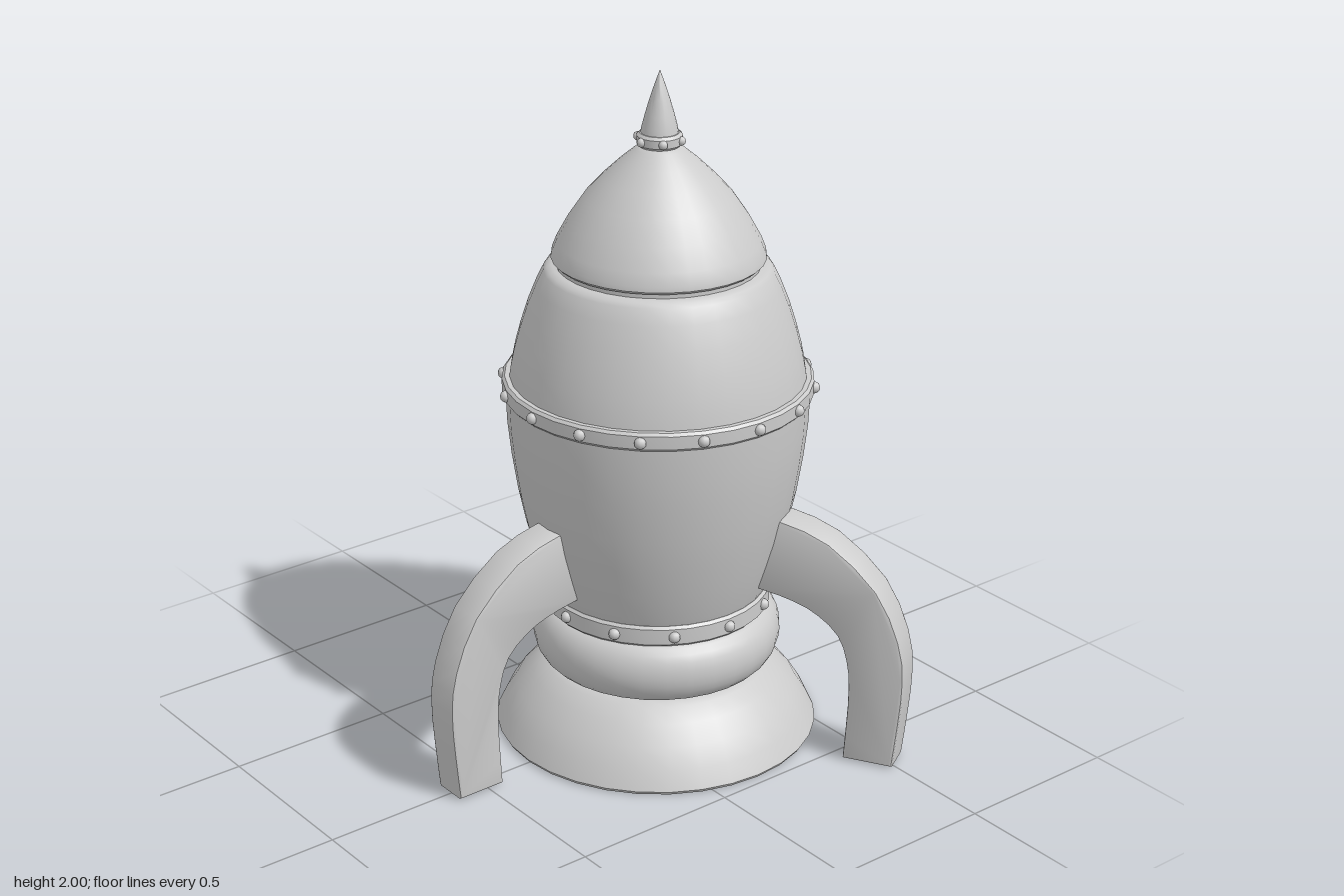
import * as THREE from 'three';
import { toCreasedNormals } from 'three/addons/utils/BufferGeometryUtils.js';

const material = new THREE.MeshStandardMaterial({ color: 0xcccccc });

function addMesh(parent, name, geometry) {
  const mesh = new THREE.Mesh(geometry, material);
  mesh.name = name;
  parent.add(mesh);
  return mesh;
}

// Turned part from [radius, height] points, listed bottom to top
function turned(parent, name, profile, segments = 32) {
  const points = profile.map(([r, y]) => new THREE.Vector2(r, y));
  addMesh(parent, name, toCreasedNormals(new THREE.LatheGeometry(points, segments), 0.6));
}

// Flat band with softened rims and a ring of rivets
function rivetedBand(parent, name, radius, y0, y1, count, rivetRadius) {
  const band = new THREE.Group();
  band.name = name;
  parent.add(band);
  const c = 0.008;
  turned(band, name + 'Ring', [
    [0, y0], [radius - c, y0], [radius, y0 + c], [radius, y1 - c], [radius - c, y1], [0, y1],
  ]);
  const rivet = new THREE.SphereGeometry(rivetRadius, 10, 8);
  for (let i = 0; i < count; i++) {
    const a = (i / count) * Math.PI * 2;
    addMesh(band, 'rivet', rivet)
      .position.set(Math.sin(a) * radius, (y0 + y1) / 2, Math.cos(a) * radius);
  }
}

// Arched fin leg: outline in (radius, height), extruded sideways
function legGeometry() {
  const curve = (pts) => new THREE.SplineCurve(pts.map(([r, y]) => new THREE.Vector2(r, y)));
  const outer = curve([[0.30, 0.738], [0.40, 0.73], [0.54, 0.685], [0.685, 0.56],
    [0.757, 0.41], [0.775, 0.29], [0.767, 0.15], [0.752, 0.005]]);
  const inner = curve([[0.603, 0.005], [0.613, 0.2], [0.606, 0.31], [0.574, 0.40],
    [0.50, 0.46], [0.415, 0.49], [0.30, 0.51]]);
  const shape = new THREE.Shape([...outer.getPoints(14), ...inner.getPoints(14)]);
  const bevel = 0.008, width = 0.108;
  const geometry = new THREE.ExtrudeGeometry(shape, {
    depth: width - 2 * bevel, bevelEnabled: true, bevelSegments: 2,
    bevelSize: bevel, bevelThickness: bevel, bevelOffset: -bevel,
  });
  geometry.translate(0, 0, -width / 2 + bevel);
  geometry.rotateY(-Math.PI / 2);
  return toCreasedNormals(geometry, 0.5);
}

export function createModel() {
  const model = new THREE.Group();
  model.name = 'rocket';
  const rocket = new THREE.Group();
  rocket.name = 'rocketBody';
  rocket.position.z = -0.15;
  model.add(rocket);

  // Exhaust bell and the bulging collar above it
  turned(rocket, 'exhaustBell', [
    [0, 0], [0.47, 0], [0.476, 0.01], [0.45, 0.065], [0.415, 0.12],
    [0.37, 0.17], [0.33, 0.205], [0.305, 0.216], [0, 0.216],
  ]);
  const collar = [[0, 0.216]];
  for (let i = 0; i <= 12; i++) {
    const a = -Math.PI / 2 + (i / 12) * Math.PI;
    collar.push([0.295 + 0.07 * Math.cos(a), 0.31 + 0.094 * Math.sin(a)]);
  }
  turned(rocket, 'collar', [...collar, [0, 0.404]]);
  rivetedBand(rocket, 'lowerBand', 0.332, 0.40, 0.463, 12, 0.017);

  // Hull
  turned(rocket, 'lowerHull', [
    [0, 0.45], [0.318, 0.45], [0.33, 0.48], [0.357, 0.57], [0.382, 0.66],
    [0.403, 0.76], [0.42, 0.87], [0.431, 0.97], [0.435, 1.07], [0, 1.07],
  ]);
  rivetedBand(rocket, 'middleBand', 0.445, 1.058, 1.112, 16, 0.017);
  turned(rocket, 'upperHull', [
    [0, 1.1], [0.425, 1.1], [0.419, 1.14], [0.409, 1.19], [0.393, 1.25],
    [0.371, 1.32], [0.345, 1.385], [0.324, 1.428], [0.315, 1.438], [0.30, 1.444], [0, 1.446],
  ]);

  // Nose, set off from the hull by a narrow groove
  turned(rocket, 'noseGroove', [[0.289, 1.43], [0.289, 1.48]]);
  turned(rocket, 'nose', [
    [0, 1.458], [0.295, 1.458], [0.303, 1.466], [0.301, 1.48], [0.287, 1.515],
    [0.254, 1.575], [0.21, 1.64], [0.16, 1.695], [0.11, 1.743], [0.068, 1.778], [0.05, 1.79], [0, 1.79],
  ]);
  rivetedBand(rocket, 'tipBand', 0.064, 1.785, 1.824, 6, 0.013);
  turned(rocket, 'tip', [
    [0, 1.815], [0.054, 1.815], [0.05, 1.84], [0.041, 1.875], [0.028, 1.92], [0.013, 1.965], [0, 2.0],
  ], 20);

  // Three legs, one facing forward
  const leg = legGeometry();
  ['frontLeg', 'leftLeg', 'rightLeg'].forEach((name, i) => {
    addMesh(rocket, name, leg).rotation.y = (i * Math.PI * 2) / 3;
  });
  return model;
}
